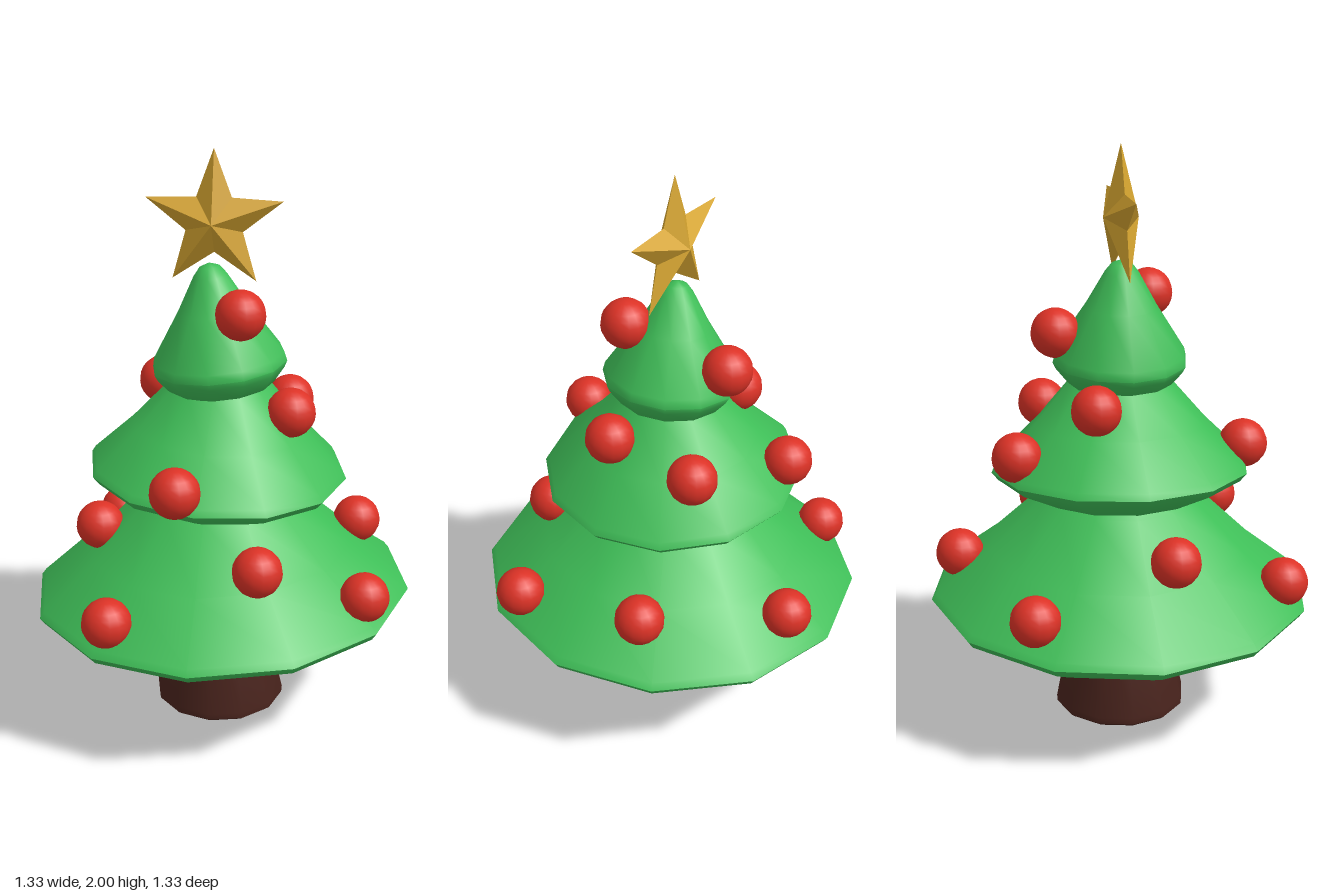
import * as THREE from 'three';
import { toCreasedNormals } from 'three/addons/utils/BufferGeometryUtils.js';

const mat = (color) => new THREE.MeshStandardMaterial({ color });

// Twelve-sided turned solid from [radius, y] points, listed bottom to top
function turned(name, profile, material) {
  const points = profile.map(([r, y]) => new THREE.Vector2(r, y));
  const mesh = new THREE.Mesh(toCreasedNormals(new THREE.LatheGeometry(points, 12), 0.75), material);
  mesh.name = name;
  return mesh;
}

// Five-pointed star whose two faces rise to a central peak
function starGeometry(outer, inner, depth) {
  const rim = [];
  for (let i = 0; i < 10; i++) {
    const a = Math.PI / 2 + (i * Math.PI) / 5;
    const r = i % 2 ? inner : outer;
    rim.push([r * Math.cos(a), r * Math.sin(a), 0]);
  }
  const positions = [];
  for (let i = 0; i < 10; i++) {
    const a = rim[i], b = rim[(i + 1) % 10];
    positions.push(0, 0, depth, ...a, ...b);
    positions.push(0, 0, -depth, ...b, ...a);
  }
  const geometry = new THREE.BufferGeometry();
  geometry.setAttribute('position', new THREE.Float32BufferAttribute(positions, 3));
  geometry.computeVertexNormals();
  return geometry;
}

export function createModel() {
  const tree = new THREE.Group();
  tree.name = 'christmasTree';
  const green = mat(0x3fbf58);
  const red = mat(0xdc3226);

  // Trunk with a softened foot
  const trunk = turned('trunk', [
    [0, 0], [0.215, 0], [0.23, 0.012], [0.232, 0.035], [0.155, 0.345], [0.145, 0.4], [0, 0.4],
  ], mat(0x4a241d));
  trunk.position.x = -0.005;
  tree.add(trunk);

  // Foliage tiers: profiles are relative to the rim, each tier leans a little
  const tiers = [
    { name: 'lowerFoliage', x: 0, y: 0.45, lean: 0.042, profile: [
      [0, -0.107], [0.47, -0.107], [0.53, -0.095], [0.65, -0.025], [0.667, 0], [0.65, 0.022],
      [0.46, 0.172], [0.27, 0.355], [0.22, 0.4], [0, 0.4]] },
    { name: 'middleFoliage', x: -0.012, y: 0.905, lean: -0.047, profile: [
      [0, -0.108], [0.25, -0.108], [0.28, -0.1], [0.425, -0.028], [0.448, 0], [0.435, 0.022],
      [0.3, 0.155], [0.175, 0.3], [0.14, 0.34], [0, 0.34]] },
    { name: 'upperFoliage', x: -0.005, y: 1.277, lean: 0.1, profile: [
      [0, -0.085], [0.15, -0.085], [0.18, -0.072], [0.22, -0.022], [0.231, 0], [0.224, 0.03],
      [0.122, 0.19], [0.058, 0.305], [0.034, 0.336], [0, 0.349]] },
  ];
  for (const { name, x, y, lean, profile } of tiers) {
    const tier = turned(name, profile, green);
    tier.position.set(x, y, 0);
    tier.rotation.z = lean;
    tree.add(tier);
  }

  // Baubles, from the lowest tier to the highest
  const baubles = new THREE.Group();
  baubles.name = 'baubles';
  const ball = new THREE.SphereGeometry(0.084, 16, 12);
  const places = [
    [0.096, 0.58, -0.554], [-0.443, 0.54, -0.371], [0.464, 0.64, -0.204], [0.529, 0.57, 0.261],
    [0.185, 0.7, 0.39], [-0.295, 0.535, 0.512], [-0.413, 0.69, 0.1],
    [-0.154, 1.0, -0.379], [0.21, 1.08, -0.236], [-0.225, 1.165, -0.125],
    [0.248, 1.14, 0.068], [-0.08, 0.975, 0.42],
    [-0.007, 1.38, -0.22], [0.084, 1.485, 0.118],
  ];
  places.forEach((p, i) => {
    const bauble = new THREE.Mesh(ball, red);
    bauble.name = `bauble${i + 1}`;
    bauble.position.set(...p);
    baubles.add(bauble);
  });
  tree.add(baubles);

  // Star at the tip
  const star = new THREE.Mesh(starGeometry(0.239, 0.1, 0.06), mat(0xd6a530));
  star.material.flatShading = true;
  star.name = 'star';
  star.position.set(-0.023, 1.761, 0);
  tree.add(star);

  return tree;
}
